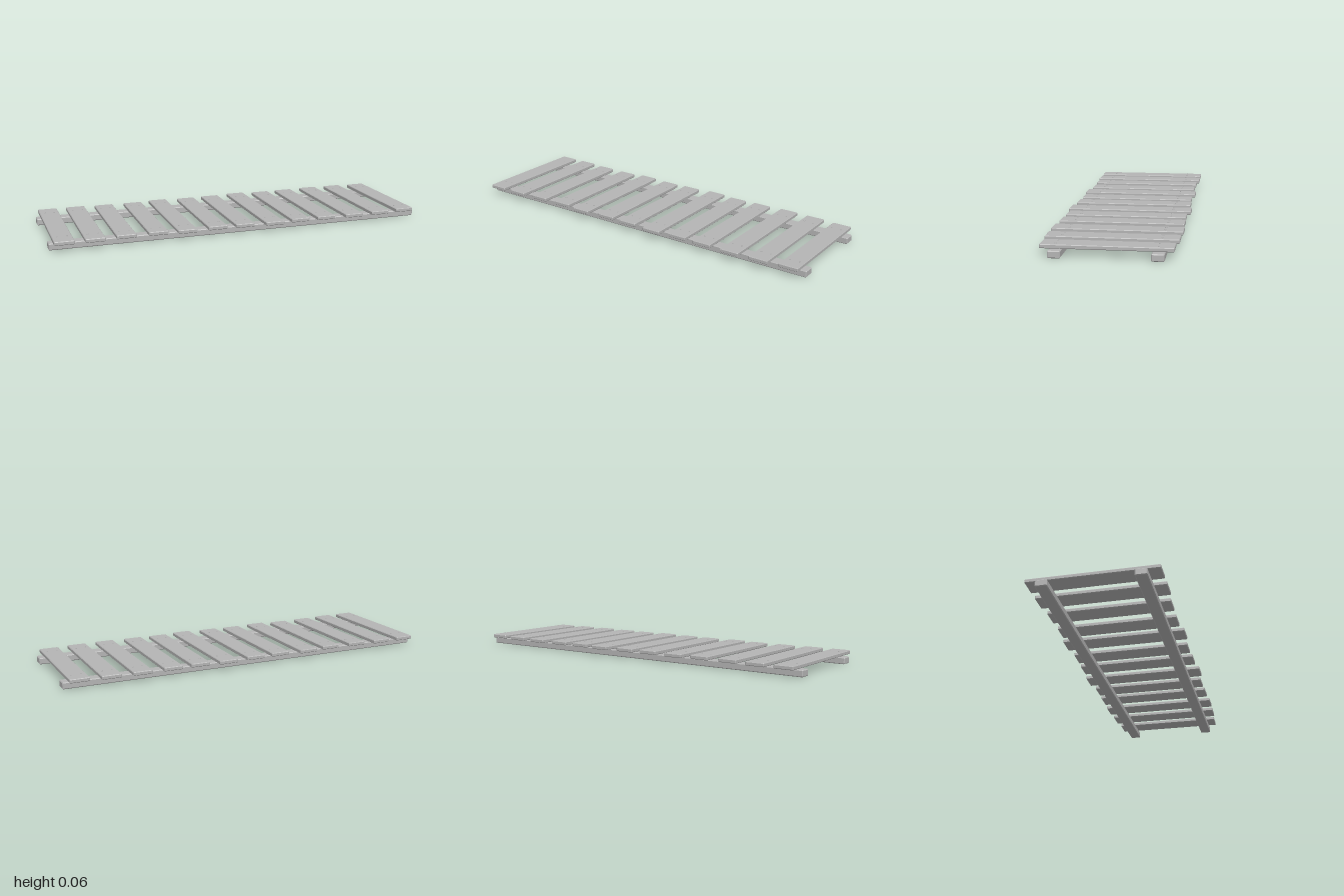
import * as THREE from 'three';
import { ConvexGeometry } from 'three/addons/geometries/ConvexGeometry.js';

// Box with all edges chamfered by b
function chamferBox(w, h, d, b) {
  const points = [];
  const [x, y, z] = [w / 2, h / 2, d / 2];
  for (const sx of [-1, 1]) for (const sy of [-1, 1]) for (const sz of [-1, 1]) {
    points.push(
      new THREE.Vector3(sx * x, sy * (y - b), sz * (z - b)),
      new THREE.Vector3(sx * (x - b), sy * y, sz * (z - b)),
      new THREE.Vector3(sx * (x - b), sy * (y - b), sz * z));
  }
  return new ConvexGeometry(points);
}

// Centre x and half length of each plank
const PLANKS = [
  [-0.93, 0.316], [-0.779, 0.316], [-0.623, 0.305], [-0.46, 0.302], [-0.313, 0.317],
  [-0.15, 0.305], [-0.004, 0.31], [0.156, 0.322], [0.306, 0.307], [0.453, 0.31],
  [0.614, 0.316], [0.771, 0.311], [0.925, 0.3],
];

export function createModel() {
  const model = new THREE.Group();
  model.name = 'plankWalkway';
  const wood = new THREE.MeshStandardMaterial({ color: 0xb4b4b4 });
  wood.name = 'greyWood';

  const add = (parent, name, geometry, x, y, z) => {
    const mesh = new THREE.Mesh(geometry, wood);
    mesh.name = name;
    mesh.position.set(x, y, z);
    parent.add(mesh);
  };

  // Two long beams under the planks
  const beam = chamferBox(2, 0.034, 0.058, 0.004);
  add(model, 'frontBeam', beam, 0, 0.017, 0.23);
  add(model, 'backBeam', beam, 0, 0.017, -0.23);

  // Cross planks of uneven length, each held by four nails
  const nail = new THREE.CylinderGeometry(0.004, 0.005, 0.006, 8).toNonIndexed();
  nail.computeVertexNormals();
  PLANKS.forEach(([x, half], i) => {
    const group = new THREE.Group();
    group.name = `plank${i + 1}`;
    group.position.x = x;
    add(group, 'board', chamferBox(0.1, 0.019, half * 2, 0.003), 0, 0.0475, 0);
    for (const nx of [-0.025, 0.025]) for (const nz of [-0.23, 0.23]) {
      add(group, 'nail', nail, nx, 0.057, nz);
    }
    model.add(group);
  });
  return model;
}
